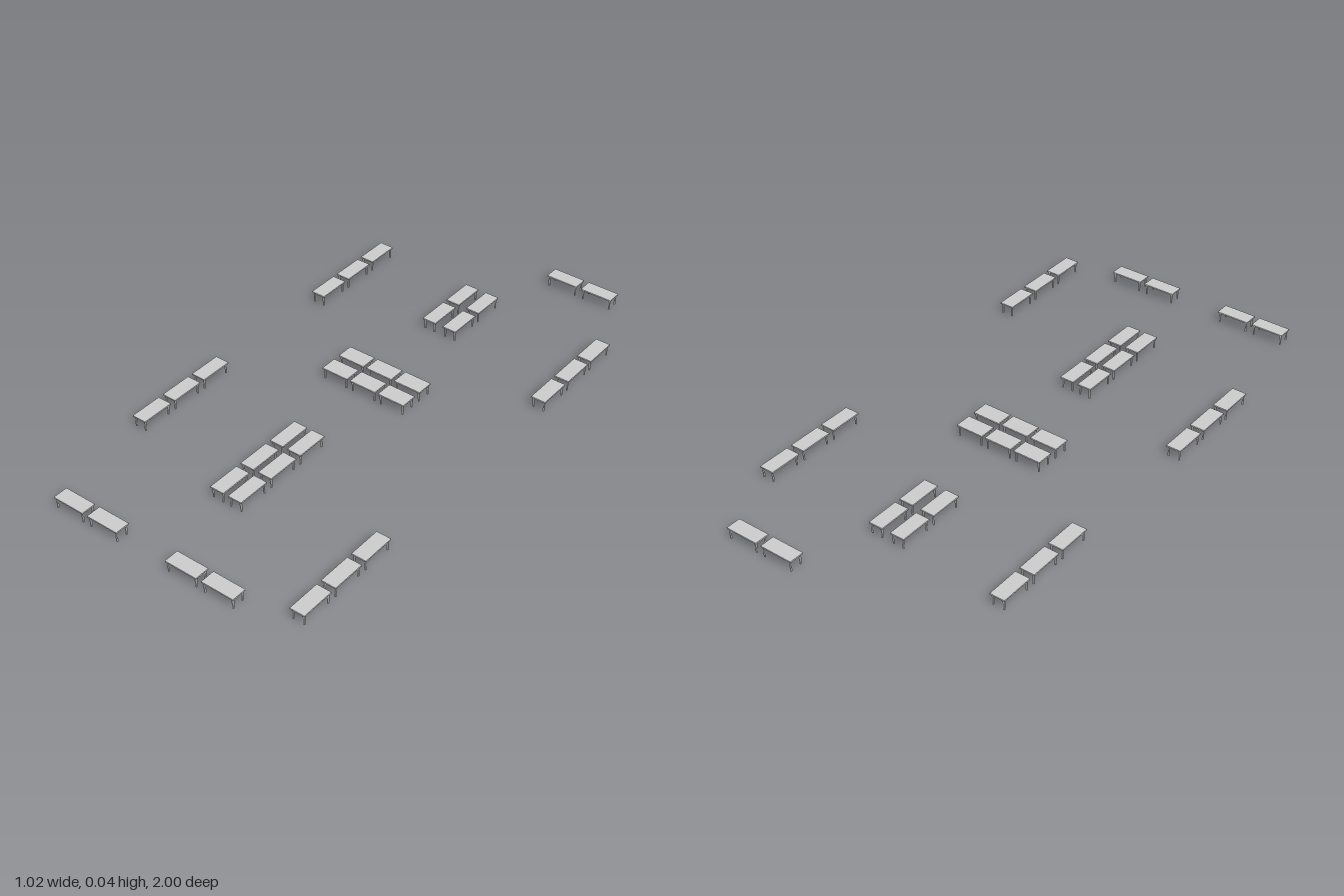
import * as THREE from 'three';

const HEIGHT = 0.043, TOP = 0.005, LEG = 0.006;
const LONG = 0.122, SHORT = 0.054;
const material = new THREE.MeshStandardMaterial({ color: 0xcccccc, flatShading: true });

// Square leg, tapered slightly towards the foot
function legGeometry() {
  const h = HEIGHT - TOP;
  const geo = new THREE.CylinderGeometry(LEG / Math.SQRT2, LEG * 0.75 / Math.SQRT2, h, 4);
  geo.rotateY(Math.PI / 4);
  geo.translate(0, h / 2, 0);
  return geo;
}

// One table: flat top on four corner legs
function makeTable(w, d, legGeo) {
  const table = new THREE.Group();
  table.name = 'table';
  const top = new THREE.Mesh(new THREE.BoxGeometry(w, TOP, d), material);
  top.name = 'tableTop';
  top.position.y = HEIGHT - TOP / 2;
  table.add(top);
  const inset = LEG / 2 + 0.004;
  for (const sx of [-1, 1]) for (const sz of [-1, 1]) {
    const leg = new THREE.Mesh(legGeo, material);
    leg.name = 'tableLeg';
    leg.position.set(sx * (w / 2 - inset), 0, sz * (d / 2 - inset));
    table.add(leg);
  }
  return table;
}

export function createModel() {
  const model = new THREE.Group();
  model.name = 'tableLayout';
  const legGeo = legGeometry();

  // Each block is a grid of tables: columns in x, rows in z, table size
  const blocks = [
    { name: 'backRow', xs: [0.169, 0.311], zs: [-0.973], w: LONG, d: SHORT },
    { name: 'frontRightRow', xs: [-0.361, -0.219], zs: [0.973], w: LONG, d: SHORT },
    { name: 'frontLeftRow', xs: [0.1, 0.242], zs: [0.973], w: LONG, d: SHORT },
    { name: 'backRightColumn', xs: [-0.473], zs: [-0.691, -0.549, -0.407], w: SHORT, d: LONG },
    { name: 'backLeftColumn', xs: [0.481], zs: [-0.657, -0.515, -0.373], w: SHORT, d: LONG },
    { name: 'frontRightColumn', xs: [-0.483], zs: [0.217, 0.359, 0.501], w: SHORT, d: LONG },
    { name: 'frontLeftColumn', xs: [0.478], zs: [0.581, 0.723, 0.865], w: SHORT, d: LONG },
    { name: 'backCentreBlock', xs: [-0.064, 0.021], zs: [-0.658, -0.516], w: 0.053, d: LONG },
    { name: 'frontCentreBlock', xs: [-0.051, 0.021], zs: [0.326, 0.468, 0.61], w: 0.053, d: LONG },
    { name: 'middleBlock', xs: [-0.134, -0.017, 0.1], zs: [-0.135, -0.046], w: 0.104, d: 0.063 },
  ];

  for (const { name, xs, zs, w, d } of blocks) {
    const block = new THREE.Group();
    block.name = name;
    for (const x of xs) for (const z of zs) {
      const table = makeTable(w, d, legGeo);
      table.position.set(x, 0, z);
      block.add(table);
    }
    model.add(block);
  }
  return model;
}
